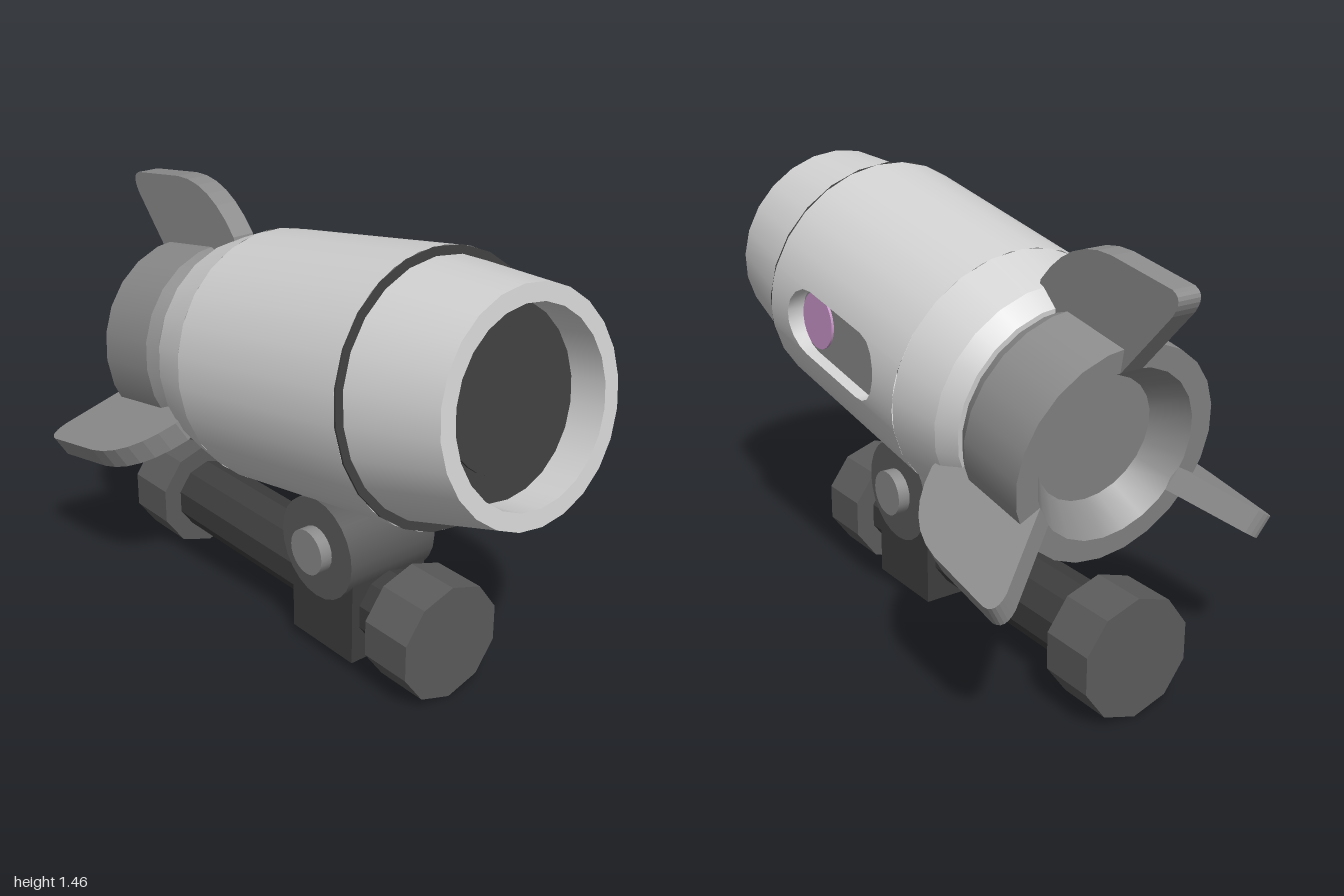
import * as THREE from 'three';

const mat = (name, color) => {
  const m = new THREE.MeshStandardMaterial({ color, side: THREE.DoubleSide });
  m.name = name;
  return m;
};

export function createModel() {
  const shell = mat('light grey shell', 0xd2d2d2);
  const grey = mat('mid grey', 0x8c8c8c);
  const slate = mat('slate grey', 0x5c5c5c);
  const dark = mat('dark grey', 0x3e3e3e);
  const pink = mat('pink', 0xcc99cc);

  const model = new THREE.Group();
  model.name = 'model';
  // everything on the tilted axis: local z runs along the barrel
  const barrel = new THREE.Group();
  barrel.name = 'barrel';
  barrel.position.y = 0.938;
  barrel.rotation.x = -THREE.MathUtils.degToRad(10);
  model.add(barrel);

  const add = (parent, name, geo, material, x = 0, y = 0, z = 0) => {
    const mesh = new THREE.Mesh(geo, material);
    mesh.name = name;
    mesh.position.set(x, y, z);
    parent.add(mesh);
    return mesh;
  };

  // hard-edged lathe round z; profile is [radius, z], doubled points keep creases
  const lathe = (profile, start = 0, length = Math.PI * 2, segments = 24) => {
    const pts = profile.flatMap(([r, z], i) => {
      const p = new THREE.Vector2(r, z);
      return i > 0 && i < profile.length - 1 ? [p, p.clone()] : [p];
    });
    return new THREE.LatheGeometry(pts, segments, start, length).rotateX(Math.PI / 2);
  };

  // surface between two rows of points
  const strip = (a, b) => {
    const n = a.length, index = [];
    for (let i = 0; i < n - 1; i++) index.push(i, n + i, n + i + 1, i, n + i + 1, i + 1);
    const geo = new THREE.BufferGeometry().setFromPoints([...a, ...b]);
    geo.setIndex(index);
    geo.computeVertexNormals();
    return geo;
  };

  const flat = (geo) => {
    const g = geo.toNonIndexed();
    g.computeVertexNormals();
    return g;
  };

  // main shell, left open where the side window sits
  const R = 0.425, H = 0.113, back = -0.18, front = 0.605;
  const gap = Math.asin(H / R);
  add(barrel, 'mainShell', lathe([[R, back], [R, front]], Math.PI / 2 + gap, Math.PI * 2 - 2 * gap), shell);
  add(barrel, 'shellTaper', lathe([[0.28, -0.43], [0.345, -0.42], [0.385, -0.355], [R, back]]), shell);

  // window: rounded slot outline, the shell at both of its ends, walls and floor
  const onShell = (z, h) => new THREE.Vector3(Math.sqrt(R * R - h * h), h, z);
  const floorX = 0.365, steps = 8;
  const arc = (c, from) => Array.from({ length: steps + 1 }, (_, i) => {
    const t = from - (i / steps) * Math.PI;
    return onShell(c + H * Math.cos(t), H * Math.sin(t));
  });
  const frontArc = arc(0.377, Math.PI / 2);
  const backArc = arc(0.053, -Math.PI / 2);
  add(barrel, 'shellFrontOfWindow', strip(frontArc, frontArc.map((p) => onShell(front, p.y))), shell);
  add(barrel, 'shellBehindWindow', strip(backArc, backArc.map((p) => onShell(back, p.y))), shell);
  const outline = [...frontArc, ...backArc];
  const rim = [...outline, outline[0].clone()];
  add(barrel, 'windowWall', strip(rim.map((p) => new THREE.Vector3(floorX, p.y, p.z)), rim), shell);
  const floorShape = new THREE.Shape(outline.map((p) => new THREE.Vector2(-p.z, p.y)));
  add(barrel, 'windowFloor', new THREE.ShapeGeometry(floorShape).rotateY(Math.PI / 2), grey, floorX);
  add(barrel, 'windowLight', new THREE.CylinderGeometry(0.096, 0.096, 0.008, 24).rotateZ(-Math.PI / 2),
    pink, floorX + 0.004, 0, 0.38);

  // nozzle, dark seam and recessed lens
  add(barrel, 'seam', lathe([[R, front], [R, 0.612], [0.38, 0.612]]), dark);
  add(barrel, 'nozzle', lathe([[0.398, 0.612], [0.35, 0.955], [0.295, 0.955], [0.295, 0.825]]), shell);
  add(barrel, 'lensBacking', new THREE.CircleGeometry(0.296, 24), dark, 0, 0, 0.825);
  add(barrel, 'lens', new THREE.CylinderGeometry(0.213, 0.213, 0.008, 32).rotateX(Math.PI / 2),
    dark, 0, 0, 0.829);

  // tail ring with its funnel
  add(barrel, 'tailRing', lathe([[0, -0.63], [0.21, -0.63], [0.285, -0.737], [0.36, -0.737],
    [0.36, -0.475], [0.336, -0.43], [0.2, -0.43]]), grey);

  // three fins
  const fin = new THREE.Shape();
  fin.moveTo(-0.333, 0.37);
  fin.lineTo(-0.335, 0.397);
  fin.quadraticCurveTo(-0.44, 0.58, -0.625, 0.592);
  fin.lineTo(-0.88, 0.598);
  fin.quadraticCurveTo(-0.93, 0.59, -0.898, 0.526);
  fin.lineTo(-0.738, 0.28);
  fin.lineTo(-0.42, 0.28);
  const finGeo = new THREE.ExtrudeGeometry(fin, { depth: 0.08, bevelEnabled: false, curveSegments: 6 })
    .translate(0, 0, -0.04).rotateY(-Math.PI / 2);
  for (let i = 0; i < 3; i++) add(barrel, 'fin', finGeo, grey).rotation.z = (i * Math.PI * 2) / 3;

  // lower rail with end caps
  const rod = (r, length) => flat(new THREE.CylinderGeometry(r, r, length, 10).rotateX(Math.PI / 2));
  add(model, 'rail', rod(0.13, 1.14), dark, 0, 0.2, -0.095);
  for (const z of [0.565, -0.755]) add(model, 'railCap', rod(0.2, 0.19), slate, 0, 0.2, z);

  // mount: block, hinge drum and pin
  const axle = (r, length) => new THREE.CylinderGeometry(r, r, length, 24).rotateZ(Math.PI / 2);
  add(model, 'mountBlock', new THREE.BoxGeometry(0.31, 0.33, 0.305), dark, 0, 0.2, 0.212);
  add(model, 'hingeDrum', axle(0.176, 0.355), slate, 0, 0.405, 0.21);
  add(model, 'hingePin', axle(0.078, 0.44), grey, 0, 0.405, 0.21);

  return model;
}
